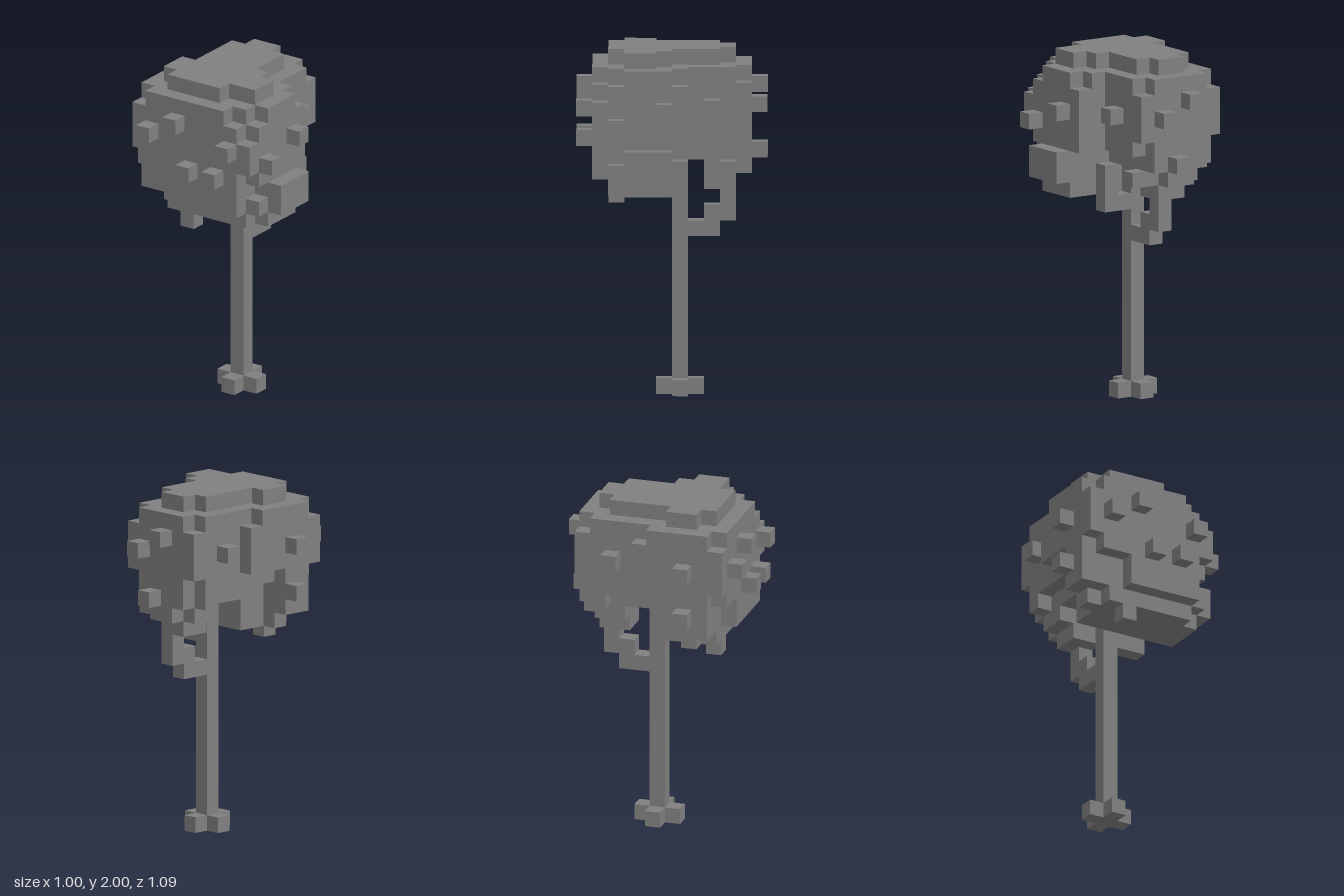
import * as THREE from 'three';
import { mergeGeometries } from 'three/addons/utils/BufferGeometryUtils.js';

const S = 1 / 11; // edge of one cube
const material = new THREE.MeshStandardMaterial({ color: 0x808080, flatShading: true });

// Six outward normals, each with a cube face turned towards it
const FRONT = new THREE.Vector3(0, 0, 1);
const SIDES = [0, 1, 2].flatMap((axis) => [-1, 1].map((sign) => {
  const normal = new THREE.Vector3().setComponent(axis, sign);
  const turn = new THREE.Quaternion().setFromUnitVectors(FRONT, normal);
  return { normal, face: new THREE.PlaneGeometry(S, S).applyQuaternion(turn) };
}));

// Fills boxes [x0, x1, y0, y1, z0, z1] with cubes, drops the missing ones and keeps the outer faces
function voxelMesh(name, boxes, missing = []) {
  const cells = new Map();
  for (const [x0, x1, y0, y1, z0, z1] of boxes)
    for (let x = x0; x < x1; x++)
      for (let y = y0; y < y1; y++)
        for (let z = z0; z < z1; z++) cells.set(`${x},${y},${z}`, new THREE.Vector3(x, y, z));
  for (const cell of missing) cells.delete(cell.join());

  const faces = [];
  for (const cell of cells.values())
    for (const { normal, face } of SIDES) {
      if (cells.has(cell.clone().add(normal).toArray().join())) continue;
      const p = cell.clone().addScaledVector(normal, 0.5);
      faces.push(face.clone().translate((p.x - 5) * S, (p.y + 0.5) * S, (p.z - 5.5) * S));
    }
  const mesh = new THREE.Mesh(mergeGeometries(faces), material);
  mesh.name = name;
  return mesh;
}

const cube = ([x, y, z]) => [x, x + 1, y, y + 1, z, z + 1];

// Slab with one cube cut from each upright corner
const notched = (x0, x1, y0, y1, z0, z1) => [
  [x0 + 1, x1 - 1, y0, y1, z0, z1],
  [x0, x1, y0, y1, z0 + 1, z1 - 1],
];

// Rounded lobe: full middle, notched layers above and below it, smaller cap on top
const lobe = (x0, x1, z0, z1) => [
  [x0, x1, 17, 20, z0, z1],
  ...notched(x0, x1, 16, 17, z0, z1),
  ...notched(x0, x1, 20, 21, z0, z1),
  ...notched(x0 + 1, x1 - 1, 21, 22, z0 + 1, z1 - 1),
];

export function createModel() {
  const tree = new THREE.Group();
  tree.name = 'tree';

  // Trunk with a cross of roots
  tree.add(voxelMesh('trunk', [[5, 6, 0, 15, 5, 6], ...notched(4, 7, 0, 1, 4, 7)]));

  // Stepped branch at the back
  tree.add(voxelMesh('backBranch', [
    [5, 6, 10, 11, 3, 5],
    [5, 6, 11, 12, 2, 4],
    [5, 6, 12, 13, 2, 3],
  ]));

  // Branch to the left, turning up into the leaves
  tree.add(voxelMesh('sideBranch', [
    [6, 8, 12, 13, 5, 6],
    [7, 8, 13, 15, 5, 6],
  ]));

  // Leaves: a narrow rear lobe, a wide front lobe and their undersides
  const rearUnderside = [
    [3, 7, 15, 16, 1, 6],
    [4, 6, 14, 15, 1, 2],
    [3, 7, 14, 15, 2, 4],
    [4, 6, 13, 14, 2, 4],
  ];
  const frontUnderside = [
    [3, 9, 13, 16, 6, 10],
    [4, 9, 14, 16, 10, 11],
    [1, 3, 14, 16, 8, 10],
    [2, 3, 13, 14, 8, 9],
  ];
  const sideBlock = [[9, 11, 14, 16, 6, 9], [9, 10, 13, 14, 6, 9]];
  const missing = [[7, 21, 9], [8, 20, 10], [9, 20, 9], [9, 19, 10], [1, 16, 6], [1, 16, 7]];
  tree.add(voxelMesh('canopy', [
    ...lobe(2, 8, 1, 11), ...lobe(1, 10, 5, 11),
    ...rearUnderside, ...frontUnderside, ...sideBlock, cube([9, 16, 5]),
  ], missing));

  // Single cubes sticking out of the leaves
  const leafCubes = {
    frontLeaves: [[4, 19, 11], [2, 18, 11], [8, 18, 11], [5, 16, 11], [7, 16, 11]],
    backLeaves: [[4, 19, 0], [6, 18, 0], [5, 15, 0]],
    leftLeaves: [[10, 18, 6], [10, 17, 9], [8, 18, 3], [9, 14, 9], [7, 14, 2]],
    rightLeaves: [[0, 18, 8], [0, 15, 8], [1, 18, 3], [2, 15, 2]],
    hangingLeaf: [[4, 12, 9]],
  };
  for (const [name, cells] of Object.entries(leafCubes)) tree.add(voxelMesh(name, cells.map(cube)));

  return tree;
}
